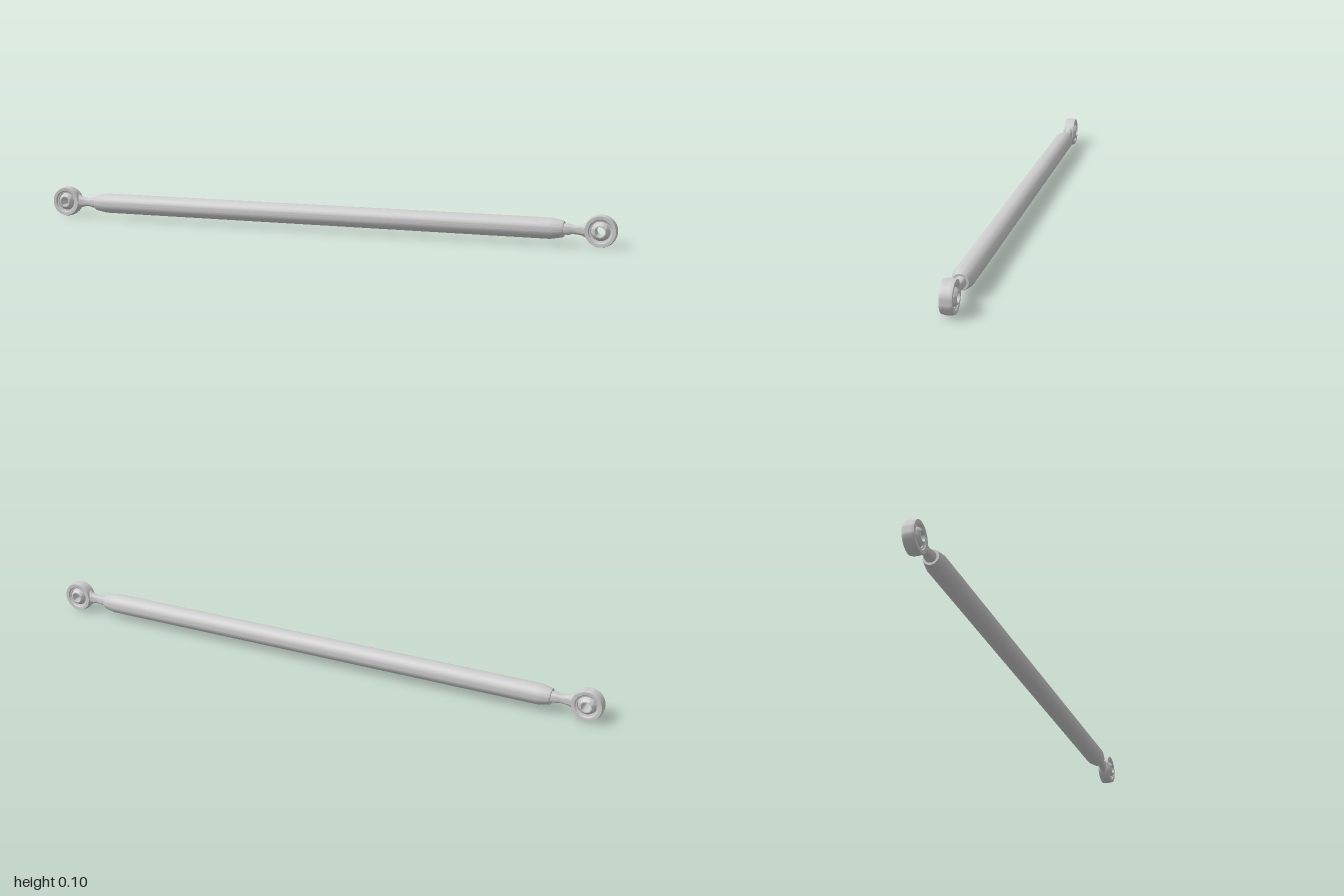
import * as THREE from 'three';
import { toCreasedNormals } from 'three/addons/utils/BufferGeometryUtils.js';

const AXIS_Y = 0.052;   // height of the rod's centre line
const EYE_X = 0.948;    // distance of each eye from the middle

const material = new THREE.MeshStandardMaterial({ color: 0xcccccc });

// Revolve [radius, height] pairs about y
function revolve(profile, sides) {
  return new THREE.LatheGeometry(profile.map(([r, h]) => new THREE.Vector2(r, h)), sides);
}

function part(name, geometry, crease = 0.5) {
  const mesh = new THREE.Mesh(toCreasedNormals(geometry, crease), material);
  mesh.name = name;
  return mesh;
}

// Neck between rod and eye: round at the rod, flaring into the eye ring
function createNeck() {
  // distance along x, half height, half depth
  const stations = [
    [0.825, 0.018, 0.018], [0.848, 0.018, 0.018], [0.856, 0.015, 0.015],
    [0.872, 0.015, 0.014], [0.885, 0.017, 0.014], [0.897, 0.022, 0.015],
    [0.908, 0.031, 0.016],
  ];
  const geometry = revolve(stations.map(([x, h]) => [h, x]), 24);
  geometry.rotateZ(-Math.PI / 2);
  const pos = geometry.attributes.position;
  for (let i = 0; i < pos.count; i++) {
    const [, h, d] = stations.find(([x]) => Math.abs(x - pos.getX(i)) < 1e-4);
    pos.setZ(i, pos.getZ(i) * d / h);
  }
  return part('neck', geometry, 0.7);
}

function createRodEnd(name) {
  const end = new THREE.Group();
  end.name = name;
  end.add(createNeck());

  // Crowned outer ring with a bevelled mouth on both faces
  const ring = revolve([
    [0.049, -0.019], [0.0512, -0.010], [0.052, 0], [0.0512, 0.010], [0.049, 0.019],
    [0.038, 0.019], [0.035, 0.015], [0.031, 0.014],
    [0.031, -0.014], [0.035, -0.015], [0.038, -0.019], [0.049, -0.019],
  ], 40).rotateX(Math.PI / 2);

  // Swivel ball cut flat at both sides, with a through bore
  const radius = 0.0315, half = 0.025, bore = 0.016;
  const profile = [];
  const limit = Math.asin(half / radius);
  for (let i = 0; i <= 10; i++) {
    const a = -limit + 2 * limit * i / 10;
    profile.push([radius * Math.cos(a), radius * Math.sin(a)]);
  }
  profile.push([bore, half], [bore, -half], profile[0]);
  const ball = revolve(profile, 32).rotateX(Math.PI / 2);

  for (const mesh of [part('eyeRing', ring), part('swivelBall', ball)]) {
    mesh.position.x = EYE_X;
    end.add(mesh);
  }
  return end;
}

export function createModel() {
  const model = new THREE.Group();
  model.name = 'linkRod';

  // Long tube with tapered, closed ends
  const tube = revolve([
    [0, -0.832], [0.025, -0.832], [0.027, -0.828], [0.034, -0.79],
    [0.034, 0.79], [0.027, 0.828], [0.025, 0.832], [0, 0.832],
  ], 32).rotateZ(-Math.PI / 2);
  model.add(part('rod', tube, 0.3));

  const left = createRodEnd('leftRodEnd');
  const right = createRodEnd('rightRodEnd');
  right.rotation.y = Math.PI;
  model.add(left, right);

  for (const child of model.children) child.position.y = AXIS_Y;
  return model;
}
